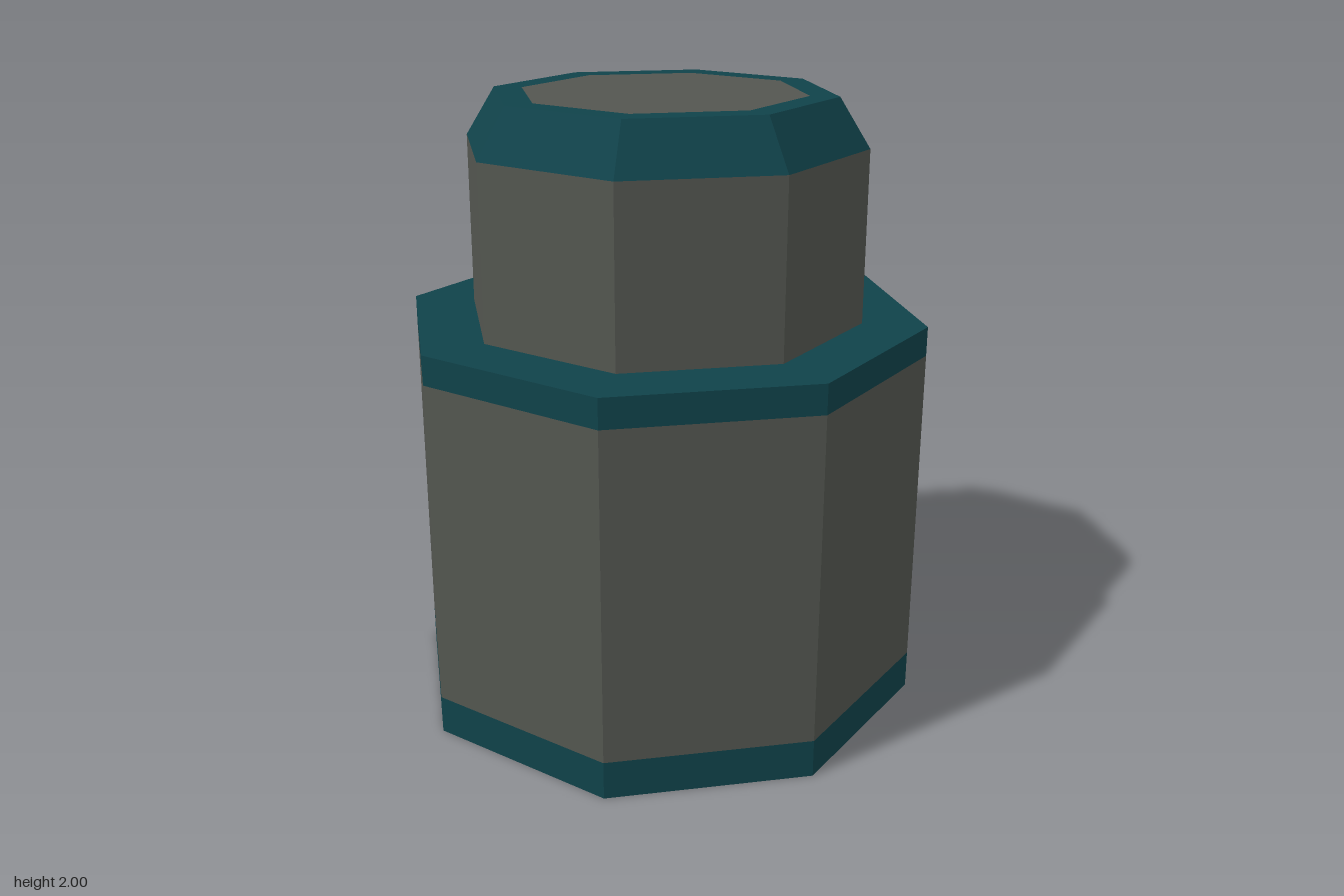
import * as THREE from 'three';

const SIDES = 8;
const BODY_R = 0.855, NECK_R = 0.648, RIM_R = 0.55, INSET_R = 0.458;

export function createModel() {
  const model = new THREE.Group();
  model.name = 'octagonalCanister';

  const grey = new THREE.MeshStandardMaterial({ color: 0x535650, flatShading: true });
  grey.name = 'warm grey';
  const teal = new THREE.MeshStandardMaterial({ color: 0x10424a, flatShading: true });
  teal.name = 'dark teal';

  const add = (name, geometry, material, y) => {
    const mesh = new THREE.Mesh(geometry, material);
    mesh.name = name;
    mesh.position.y = y;
    model.add(mesh);
  };

  // Open eight-sided wall between two heights
  const wall = (name, material, y0, y1, rBottom, rTop = rBottom) =>
    add(name, new THREE.CylinderGeometry(rTop, rBottom, y1 - y0, SIDES, 1, true), material, (y0 + y1) / 2);

  // Flat horizontal octagon, or octagonal ring, facing up or down
  const flat = (name, material, y, outer, inner = 0, up = true) => {
    const geometry = inner > 0
      ? new THREE.RingGeometry(inner, outer, SIDES, 1)
      : new THREE.CircleGeometry(outer, SIDES);
    add(name, geometry.rotateX(up ? -Math.PI / 2 : Math.PI / 2), material, y);
  };

  // Wide body with trim bands at both ends
  flat('bodyBottom', teal, 0, BODY_R, 0, false);
  wall('bodyLowerBand', teal, 0, 0.125, BODY_R);
  wall('bodyWall', grey, 0.125, 1.195, BODY_R);
  wall('bodyUpperBand', teal, 1.195, 1.29, BODY_R);
  flat('shoulder', teal, 1.29, BODY_R, NECK_R);

  // Narrow neck with a bevelled cap
  wall('neckWall', grey, 1.29, 1.845, NECK_R);
  wall('capBevel', teal, 1.845, 2, NECK_R, RIM_R);
  flat('capRim', teal, 2, RIM_R, INSET_R);
  flat('capPanel', grey, 2, INSET_R);

  return model;
}
